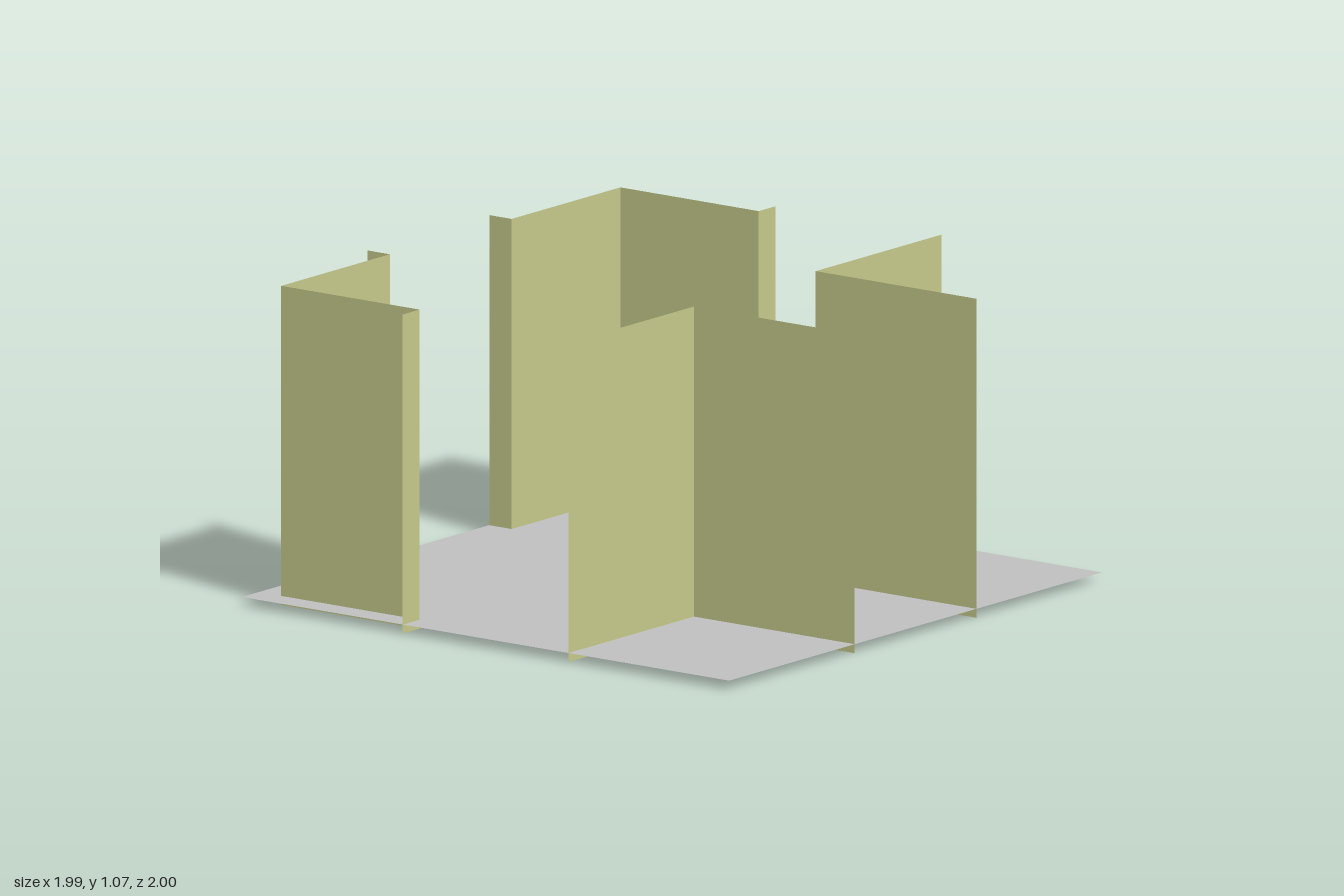
import * as THREE from 'three';

const HALF_X = 0.995, HALF_Z = 1; // footprint
const GAP_X = 0.325, GAP_Z = 0.34; // half widths of the openings
const BACK_X = 0.905, BACK_Z = 0.908; // outer corners of the back rooms
const HEIGHT = 1.065, FLOOR_Y = 0.03;

// Folded sheet wall standing on y = 0 along a path of [x, z] points
function foldedWall(name, path, material) {
  const group = new THREE.Group();
  group.name = name;
  for (let i = 0; i < path.length - 1; i++) {
    const [x0, z0] = path[i], [x1, z1] = path[i + 1];
    const dx = x1 - x0, dz = z1 - z0;
    const panel = new THREE.Mesh(new THREE.PlaneGeometry(Math.hypot(dx, dz), HEIGHT), material);
    panel.name = 'wallPanel';
    panel.position.set((x0 + x1) / 2, HEIGHT / 2, (z0 + z1) / 2);
    panel.rotation.y = Math.atan2(-dz, dx);
    group.add(panel);
  }
  return group;
}

export function createModel() {
  const model = new THREE.Group();
  model.name = 'walledPlatform';
  const wallMaterial = new THREE.MeshStandardMaterial({ color: 0xc5c98a, side: THREE.DoubleSide });
  wallMaterial.name = 'olive wall';
  const floorMaterial = new THREE.MeshStandardMaterial({ color: 0xc0c0c0, side: THREE.DoubleSide });
  floorMaterial.name = 'grey floor';

  // Floor sheet, slightly above the wall feet
  const floor = new THREE.Mesh(new THREE.PlaneGeometry(2 * HALF_X, 2 * HALF_Z), floorMaterial);
  floor.name = 'floor';
  floor.rotation.x = -Math.PI / 2;
  floor.position.y = FLOOR_Y;
  model.add(floor);

  for (const [side, s] of [['Left', 1], ['Right', -1]]) {
    // Front walls fold inwards around the corner of the openings
    model.add(foldedWall('front' + side + 'Wall', [
      [s * GAP_X, HALF_Z], [s * GAP_X, GAP_Z], [s * HALF_X, GAP_Z],
    ], wallMaterial));

    // Back walls fold around the outer corner, with short flanges out to the edges
    model.add(foldedWall('back' + side + 'Wall', [
      [s * GAP_X, -HALF_Z], [s * GAP_X, -BACK_Z], [s * BACK_X, -BACK_Z],
      [s * BACK_X, -GAP_Z], [s * HALF_X, -GAP_Z],
    ], wallMaterial));
  }
  return model;
}
